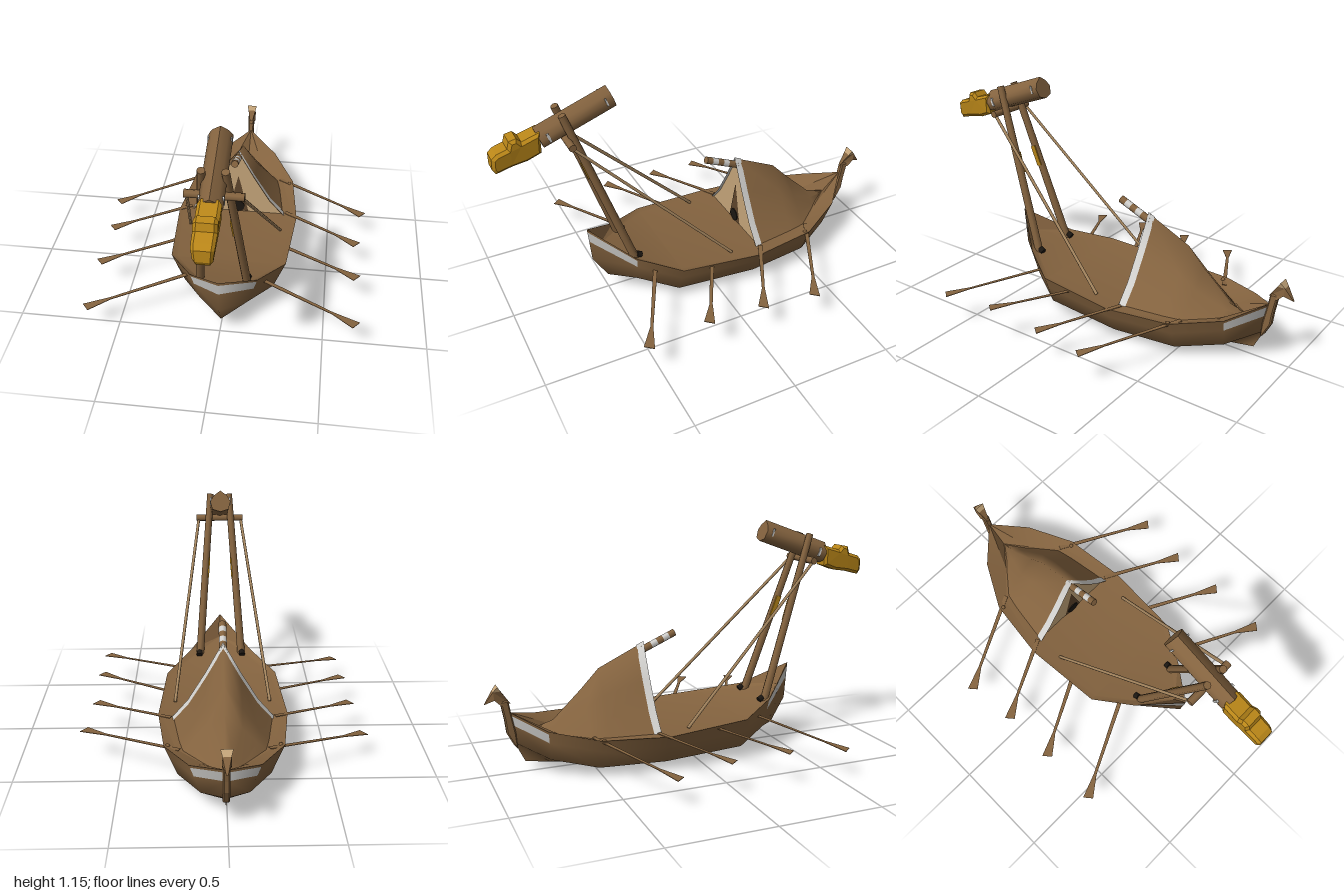
import * as THREE from 'three';
import { toCreasedNormals } from 'three/addons/utils/BufferGeometryUtils.js';

const mat = (name, color, side = THREE.FrontSide) => {
  const m = new THREE.MeshStandardMaterial({ color, side });
  m.name = name;
  return m;
};

// Skin over open cross-sections, ordered back to front; paint(i, j) picks the material of each strip
function loft(sections, crease, paint = () => 0) {
  const pos = [], groups = [];
  for (let i = 0; i < sections.length - 1; i++) {
    const n = sections[i].length - 1;
    for (let j = 0; j < n; j++) {
      const a = sections[i][j], b = sections[i][j + 1], c = sections[i + 1][j + 1], d = sections[i + 1][j];
      groups.push([pos.length / 3, paint(i, j)]);
      // mirrored diagonals keep both halves alike
      if (j < n / 2) pos.push(...a, ...b, ...c, ...a, ...c, ...d);
      else pos.push(...a, ...b, ...d, ...b, ...c, ...d);
    }
  }
  const g = new THREE.BufferGeometry();
  g.setAttribute('position', new THREE.Float32BufferAttribute(pos, 3));
  groups.forEach(([start, m]) => g.addGroup(start, 6, m));
  return toCreasedNormals(g, crease);
}

const outline = points => new THREE.Shape(points.map(p => new THREE.Vector2(p[0], p[1])));

// Side profile given as [z, y] points, thickened across x
function profile(points, width, bevel) {
  const depth = width - 2 * bevel;
  const g = new THREE.ExtrudeGeometry(outline(points), {
    depth, bevelEnabled: bevel > 0, bevelThickness: bevel, bevelSize: bevel, bevelOffset: -bevel, bevelSegments: 1,
  });
  g.translate(0, 0, -depth / 2);
  return g.rotateY(-Math.PI / 2);
}

// Scale the width of a geometry by a rule of y and z
function narrow(g, rule) {
  const p = g.attributes.position;
  for (let i = 0; i < p.count; i++) p.setX(i, p.getX(i) * rule(p.getY(i), p.getZ(i)));
  g.computeVertexNormals();
  return g;
}

export function createModel() {
  const root = new THREE.Group();
  const ship = new THREE.Group();
  ship.name = 'ship';
  ship.position.x = 0.006;
  root.add(ship);
  const wood = mat('wood', 0x84633f);
  const darkWood = mat('darkWood', 0x5e452c, THREE.DoubleSide);
  const white = mat('whitePaint', 0xd2d1ce, THREE.DoubleSide);
  const gold = mat('gold', 0xb98618);
  const cloth = mat('cloth', 0xc6a67a, THREE.DoubleSide);
  const rope = mat('rope', 0xaa8a62);
  const black = mat('black', 0x1c1712);

  const add = (name, geometry, material, parent = ship) => {
    const m = new THREE.Mesh(geometry, material);
    m.name = name;
    parent.add(m);
    return m;
  };
  const rod = (name, from, to, r0, r1, material, sides = 8) => {
    const a = new THREE.Vector3(...from), b = new THREE.Vector3(...to);
    const dir = b.clone().sub(a);
    const m = add(name, new THREE.CylinderGeometry(r1, r0, dir.length(), sides), material);
    m.position.copy(a).add(b).multiplyScalar(0.5);
    m.quaternion.setFromUnitVectors(new THREE.Vector3(0, 1, 0), dir.normalize());
    return m;
  };
  const mirror = ([x, y, z]) => [-x, y, z];
  const mix = (a, b, t) => a.map((v, i) => v + (b[i] - v) * t);

  // Hull stations: sheer, chine, keel, inner deck edge
  const stations = [
    [[0, 0.30, -0.885], [0, 0.15, -0.868], [0, 0.05, -0.82], [0, 0.2, -0.78]],
    [[0.16, 0.235, -0.74], [0.11, 0.08, -0.72], [0, 0.03, -0.7], [0.09, 0.19, -0.67]],
    [[0.28, 0.2, -0.52], [0.22, 0.05, -0.52], [0, 0.005, -0.55], [0.225, 0.185, -0.52]],
    [[0.32, 0.19, -0.2], [0.26, 0.05, -0.2], [0, 0.002, -0.2], [0.3, 0.186, -0.2]],
    [[0.29, 0.215, 0.21], [0.23, 0.06, 0.21], [0, 0.025, 0.24], [0.26, 0.208, 0.21]],
    [[0.165, 0.265, 0.4], [0.12, 0.11, 0.39], [0, 0.055, 0.37], [0.14, 0.245, 0.38]],
    [[0, 0.40, 0.592], [0, 0.21, 0.575], [0, 0.085, 0.5], [0, 0.29, 0.53]],
  ];
  // Outer shell with a painted strake under the bow and stern rails
  const shell = stations.map(([s, c, k]) => {
    const half = [c, mix(s, c, 0.4), mix(s, c, 0.09), s];
    return [...half.map(mirror).reverse(), k, ...half];
  });
  add('hull', loft(shell, 2.2, (i, j) => ((i === 0 || i === 5) && (j === 1 || j === 6) ? 1 : 0)), [wood, white]);
  add('deck', loft(stations.map(([s, , , d]) => [s, d, mirror(d), mirror(s)]), 0.3), wood);

  // Stern post with a beaked finial, tapered to both ends
  add('sternPost', profile([[-0.855, 0.12], [-0.872, 0.14], [-0.903, 0.2], [-0.91, 0.26], [-0.928, 0.36],
    [-0.89, 0.36], [-0.88, 0.3], [-0.86, 0.2]], 0.032, 0.006), wood);
  const kite = (y, z) => Math.max(0.15, 1 - Math.abs(z + 0.94) / 0.065);
  add('sternFinial', narrow(profile([[-0.88, 0.345], [-0.925, 0.41], [-0.96, 0.41], [-1.0, 0.35], [-0.955, 0.37],
    [-0.925, 0.34]], 0.054, 0), kite), wood);
  add('finialTip', narrow(profile([[-0.925, 0.41], [-0.94, 0.435], [-0.96, 0.41]], 0.054, 0), kite), cloth);

  // Tent: base half width, base y, ridge y, z, fullness
  const tentRing = ([w, y0, y1, z, f = 0], grow = 0) => {
    const wx = w + grow, top = y1 + grow, h = top - y0;
    const half = [[wx, y0, z], [wx * (0.68 + f), y0 + h * 0.24, z], [wx * (0.34 + f), y0 + h * 0.6, z]];
    return [...half, [0, top, z], ...half.map(mirror).reverse()];
  };
  const tentFront = [0.25, 0.18, 0.58, -0.218];
  const tentStations = [[0.002, 0.19, 0.21, -0.78], [0.085, 0.18, 0.24, -0.68, 0.1], [0.195, 0.18, 0.375, -0.54, 0.08],
    [0.215, 0.18, 0.47, -0.45, 0.05], tentFront];
  add('tent', loft(tentStations.map(s => tentRing(s)), 2.2), wood);
  add('tentTrim', loft([tentRing([0.244, 0.18, 0.563, -0.254], 0.005), tentRing(tentFront, 0.005)], 2.2), white);
  const plate = points => new THREE.ShapeGeometry(outline(points));
  add('tentFront', plate(tentRing(tentFront)), cloth).position.z = -0.232;
  add('tentOpening', plate([[-0.055, 0.19], [0.055, 0.19], [0.035, 0.27], [0.015, 0.36], [0, 0.42], [-0.015, 0.36],
    [-0.035, 0.27]]), darkWood).position.z = -0.228;
  const disc = new THREE.CylinderGeometry(0.034, 0.034, 0.005, 12).rotateX(Math.PI / 2);
  add('tentKnob', disc, black).position.set(0, 0.225, -0.224);

  // Striped ridge pole
  const poleAt = t => [0, 0.535 + 0.08 * t, -0.24 + 0.185 * t];
  for (let i = 0; i < 6; i++) {
    rod('ridgePole', poleAt(i / 6), poleAt((i + 1) / 6), 0.019, 0.019, i === 2 || i === 4 ? white : wood);
  }

  // Bow frame: legs with gilt inlays, feet, crossbar and stay ropes
  for (const s of [-1, 1]) {
    const leg = rod('frameLeg', [s * 0.115, 0.23, 0.39], [s * 0.05, 1.08, 0.675], 0.021, 0.018, wood);
    add('legInlay', new THREE.BoxGeometry(0.008, 0.11, 0.026), gold, leg).position.set(-s * 0.017, 0.045, 0);
    rod('frameFoot', [s * 0.118, 0.25, 0.362], [s * 0.116, 0.262, 0.385], 0.016, 0.016, black);
    rod('stayRope', [s * 0.115, 0.945, 0.66], [s * 0.24, 0.195, -0.08], 0.008, 0.008, rope, 6);
  }
  rod('crossbar', [-0.127, 0.95, 0.66], [0.127, 0.95, 0.66], 0.018, 0.018, wood);

  // Tilted ram beam with a peaked back and painted marks
  const beam = new THREE.Group();
  beam.name = 'ramBeam';
  beam.position.set(0, 1.038, 0.604);
  beam.rotation.x = Math.atan2(0.13, 0.36);
  ship.add(beam);
  const section = outline([[0, -0.054], [0.042, -0.04], [0.053, 0], [0.035, 0.03], [0, 0.056], [-0.035, 0.03],
    [-0.053, 0], [-0.042, -0.04]]);
  const log = new THREE.ExtrudeGeometry(section, { depth: 0.37, bevelEnabled: false }).translate(0, 0, -0.185);
  add('beam', toCreasedNormals(log, 1.2), wood, beam);
  for (const s of [-1, 1]) {
    add('beamMark', new THREE.BoxGeometry(0.006, 0.04, 0.008), white, beam).position.set(s * 0.05, 0.005, -0.15);
    add('beamMark', new THREE.BoxGeometry(0.008, 0.045, 0.012), white, beam).position.set(s * 0.05, -0.005, 0.145);
  }

  // Golden ram head, slimmer toward the chin
  const head = profile([[0.775, 0.91], [0.84, 0.885], [0.91, 0.875], [0.985, 0.855], [1.0, 0.88], [0.998, 0.935],
    [0.975, 0.955], [0.925, 0.97], [0.915, 1.005], [0.88, 1.012], [0.86, 0.99], [0.775, 1.015]], 0.1, 0.014);
  add('ramHead', narrow(head, y => THREE.MathUtils.clamp(0.78 + (y - 0.855) * 2.2, 0.78, 1)), gold);

  // Oars: rim x and z, tip x and z
  const oars = [[0.26, -0.515, 0.69, -0.305], [0.31, -0.21, 0.66, -0.04], [0.295, 0.06, 0.66, 0.245], [0.21, 0.33, 0.66, 0.545]];
  const tipY = { 1: [0.165, 0.172, 0.195, 0.17], [-1]: [0.132, 0.16, 0.165, 0.135] };
  for (const s of [-1, 1]) {
    oars.forEach(([x0, z0, x1, z1], i) => {
      const dx = x1 - x0 - (s > 0 ? 0.018 : 0.004), dz = z1 - z0, len = Math.hypot(dx, dz);
      // thin flat shaft flaring into a slanted blade
      const shape = outline([[-0.06, -0.011], [len - 0.12, -0.007], [len, -0.03], [len + 0.012, 0.02],
        [len - 0.12, 0.007], [-0.06, 0.011]]);
      const g = new THREE.ExtrudeGeometry(shape, { depth: 0.003, bevelEnabled: false });
      g.translate(0, 0, -0.0015).rotateX(s * -Math.PI / 2);
      const oar = add('oar', g, wood);
      oar.position.set(s * x0, 0.19, z0);
      oar.rotation.set(0, Math.atan2(-dz, s * dx), Math.atan2(tipY[s][i] - 0.19, len), 'YZX');
    });
    // Oar lock at the rear quarter
    add('oarLock', new THREE.SphereGeometry(0.011, 8, 6), wood).position.set(s * 0.262, 0.192, -0.505);
  }
  return root;
}
